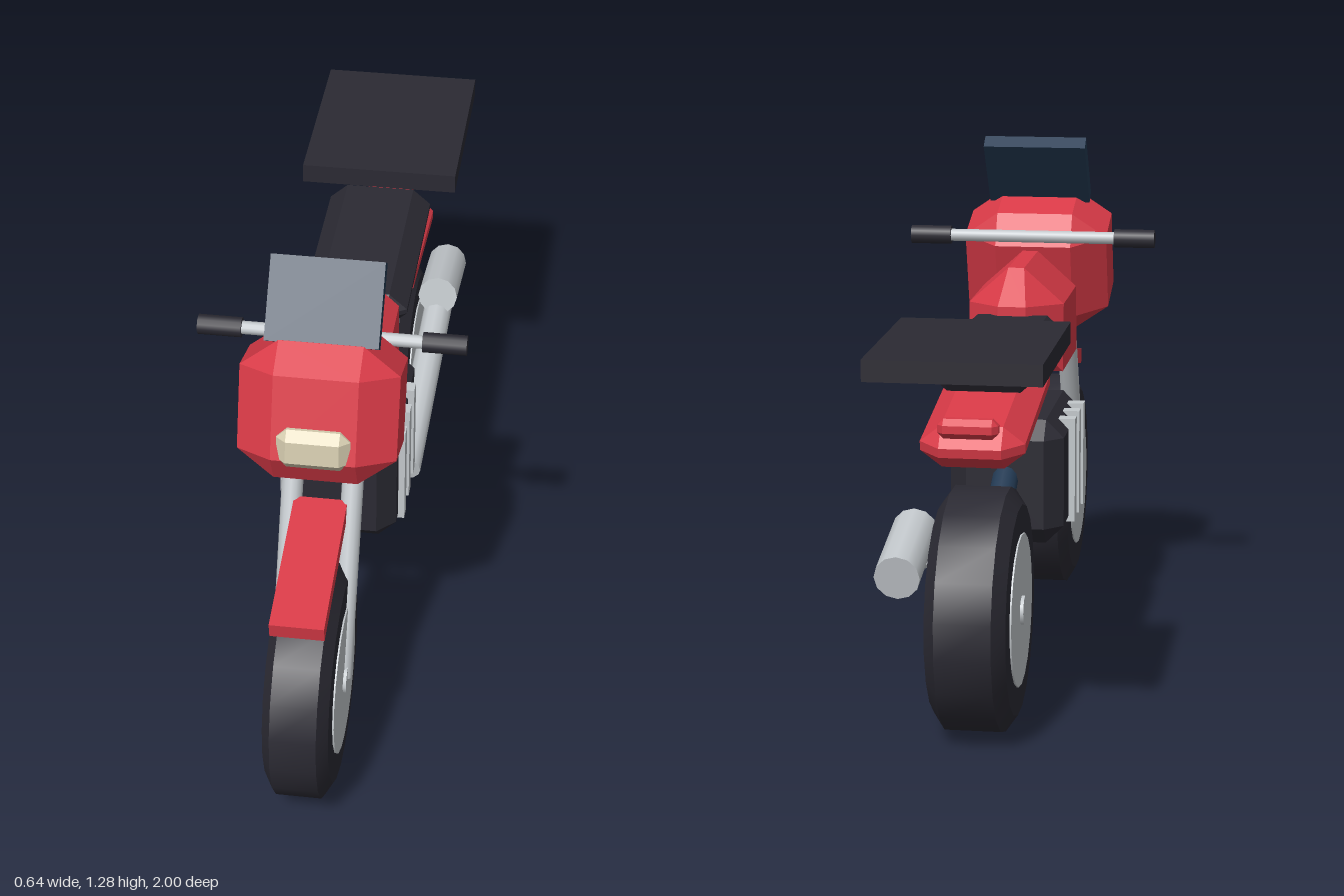
import * as THREE from 'three';
import { toCreasedNormals } from 'three/addons/utils/BufferGeometryUtils.js';
import { ConvexGeometry } from 'three/addons/geometries/ConvexGeometry.js';

export function createModel() {
  const model = new THREE.Group();
  model.name = 'motorcycle';

  const paint = (name, color) => {
    const m = new THREE.MeshStandardMaterial({ color });
    m.name = name;
    return m;
  };
  const red = paint('red', 0xd93a47);
  const black = paint('black', 0x2b2a33);
  const metal = paint('metal', 0xc3c8cc);
  const blue = paint('darkBlue', 0x233a53);
  const beige = paint('lampBeige', 0xd6cdb0);

  const add = (name, geometry, material, pos = [0, 0, 0], tilt = 0) => {
    const mesh = new THREE.Mesh(geometry, material);
    mesh.name = name;
    mesh.position.set(...pos);
    mesh.rotation.x = tilt;
    model.add(mesh);
    return mesh;
  };

  // Box with every edge and corner cut off by (cx, cy, cz)
  const chamferBox = (w, h, d, cx, cy, cz) => {
    const pts = [];
    for (const x of [-1, 1]) for (const y of [-1, 1]) for (const z of [-1, 1]) {
      const [X, Y, Z] = [w / 2, h / 2, d / 2];
      pts.push(
        new THREE.Vector3(x * X, y * (Y - cy), z * (Z - cz)),
        new THREE.Vector3(x * (X - cx), y * Y, z * (Z - cz)),
        new THREE.Vector3(x * (X - cx), y * (Y - cy), z * Z));
    }
    return new ConvexGeometry(pts);
  };

  // Straight round bar between two points
  const bar = (name, a, b, r, material, sides = 12) => {
    const A = new THREE.Vector3(...a), B = new THREE.Vector3(...b);
    const dir = B.clone().sub(A);
    const mesh = add(name, new THREE.CylinderGeometry(r, r, dir.length(), sides), material);
    mesh.position.copy(A).add(B).multiplyScalar(0.5);
    mesh.quaternion.setFromUnitVectors(new THREE.Vector3(0, 1, 0), dir.normalize());
    return mesh;
  };

  // Wheels: bevelled tyre, disc rim and small hub
  const wheel = (name, z, w, tread) => {
    const profile = [[0.17, -w], [0.25, -w], [0.29, -tread], [0.29, tread], [0.25, w], [0.17, w]]
      .map(p => new THREE.Vector2(...p));
    const tyre = new THREE.LatheGeometry(profile, 20, Math.PI / 20);
    tyre.rotateZ(Math.PI / 2);
    add(name + 'Tyre', toCreasedNormals(tyre, 0.5), black, [0, 0.29, z]);
    bar(name + 'Rim', [-w - 0.004, 0.29, z], [w + 0.004, 0.29, z], 0.182, metal, 20);
    bar(name + 'Hub', [-w - 0.012, 0.29, z], [w + 0.012, 0.29, z], 0.035, metal);
  };
  wheel('front', 0.71, 0.078, 0.055);
  wheel('rear', -0.59, 0.094, 0.066);

  // Front fork and fender
  for (const s of [-1, 1]) {
    bar(s > 0 ? 'leftFork' : 'rightFork', [s * 0.072, 0.29, 0.705], [s * 0.072, 0.86, 0.435], 0.026, metal);
  }
  add('frontFender', new THREE.BoxGeometry(0.128, 0.04, 0.39), red, [0, 0.635, 0.717], 0.19);

  // Fairing, headlight and windscreen
  add('fairing', chamferBox(0.374, 0.335, 0.274, 0.088, 0.065, 0.065), red, [0, 0.947, 0.492], -0.31);
  add('headlight', chamferBox(0.172, 0.1, 0.07, 0.024, 0.022, 0.022), beige, [0, 0.92, 0.629], -0.1);
  add('windscreen', new THREE.BoxGeometry(0.266, 0.2, 0.04), blue, [0, 1.193, 0.435], -0.645);

  // Handlebar with grips
  bar('handlebar', [-0.3, 1.03, 0.335], [0.3, 1.03, 0.335], 0.016, metal);
  for (const s of [-1, 1]) {
    bar(s > 0 ? 'leftGrip' : 'rightGrip', [s * 0.215, 1.03, 0.335], [s * 0.32, 1.03, 0.335], 0.024, black);
  }

  // Fuel tank: narrow ridge on top, tapered ends
  const tankPoints = [];
  for (const [x, y, z] of [
    [0.02, 1.0, 0.285], [0.02, 1.0, 0.02],
    [0.12, 0.91, 0.285], [0.12, 0.91, 0.025],
    [0.12, 0.74, 0.31], [0.12, 0.74, 0.01],
    [0.04, 0.92, 0.385], [0.05, 0.825, 0.392],
    [0.035, 0.915, -0.065], [0.035, 0.845, -0.065],
  ]) for (const s of [-1, 1]) tankPoints.push(new THREE.Vector3(s * x, y, z));
  add('fuelTank', new ConvexGeometry(tankPoints), red);

  // Seat, tail and luggage rack
  add('seat', chamferBox(0.264, 0.092, 0.545, 0.045, 0.04, 0.028), black, [0, 0.846, -0.29]);
  add('tail', chamferBox(0.244, 0.102, 0.535, 0.05, 0.04, 0.045), red, [0, 0.742, -0.487], -0.155);
  add('tailLight', chamferBox(0.14, 0.046, 0.046, 0.014, 0.014, 0.014), red, [0, 0.765, -0.768]);
  add('luggageRack', new THREE.BoxGeometry(0.4, 0.05, 0.5), black, [0, 0.94, -0.75]);

  // Engine block with cooling fins
  add('engine', chamferBox(0.284, 0.315, 0.442, 0.045, 0.045, 0.045), black, [0, 0.49, 0.035]);
  for (const z of [0.158, 0.067, -0.025]) {
    add('coolingFin', new THREE.BoxGeometry(0.316, 0.266, 0.036), metal, [0, 0.496, z]);
  }

  // Swingarm
  bar('swingarm', [0, 0.545, -0.1], [0, 0.29, -0.59], 0.033, blue);

  // Exhaust on the left side
  bar('exhaustPipe', [0.13, 0.312, -0.09], [0.146, 0.435, -0.67], 0.038, metal);
  bar('muffler', [0.147, 0.49, -0.635], [0.147, 0.44, -0.88], 0.053, metal);

  return model;
}
